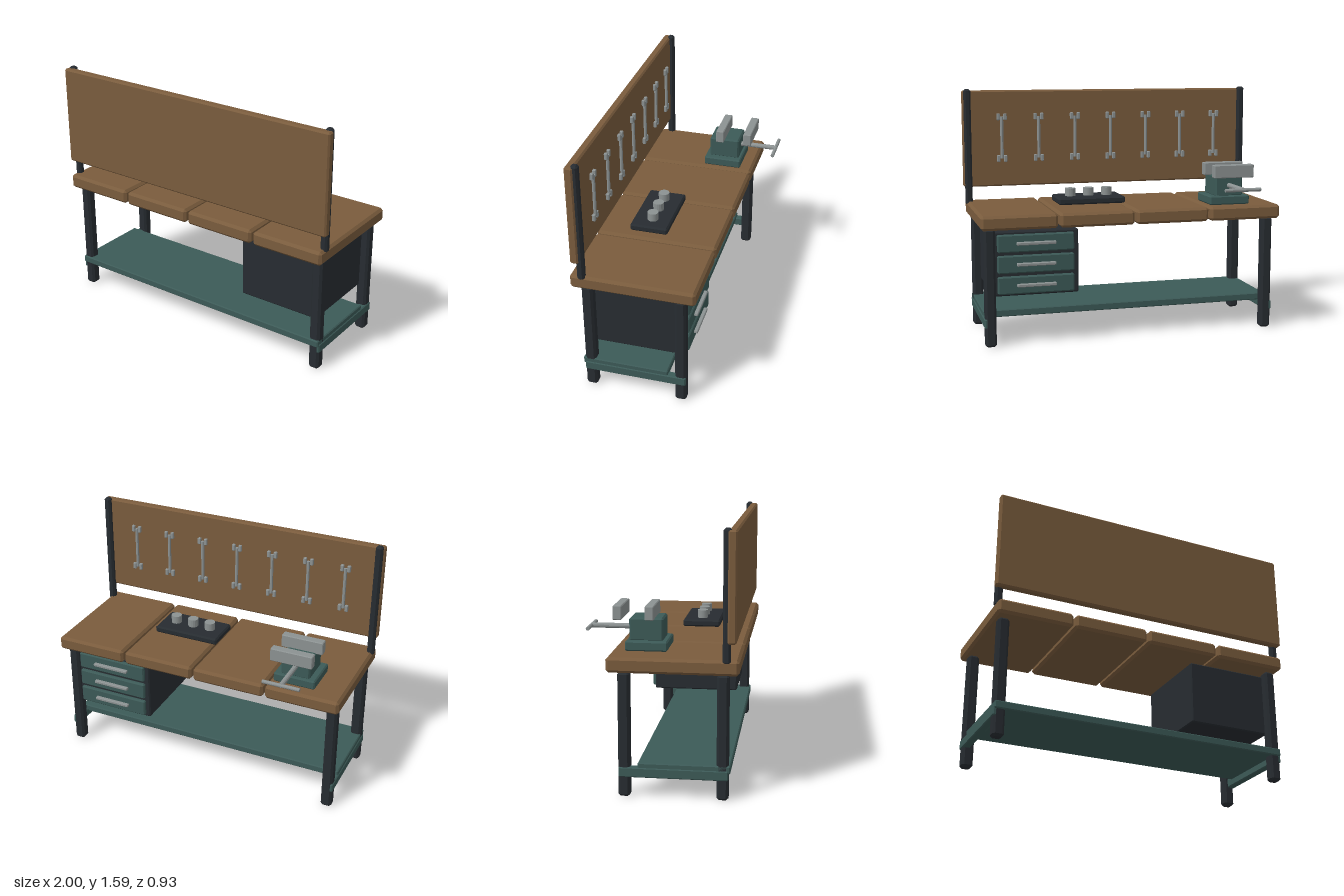
import * as THREE from 'three';
import { ConvexGeometry } from 'three/addons/geometries/ConvexGeometry.js';

const mat = (color) => new THREE.MeshStandardMaterial({ color, flatShading: true });
const wood = mat(0x7a5c3d), teal = mat(0x3c5a57), dark = mat(0x272c31), steel = mat(0x8c9292);

// Box with every edge chamfered by c, given as [min, max] ranges
function block(parent, name, material, [x0, x1], [y0, y1], [z0, z1], c = 0.008) {
  const half = [(x1 - x0) / 2, (y1 - y0) / 2, (z1 - z0) / 2];
  const points = [];
  for (const sx of [-1, 1]) for (const sy of [-1, 1]) for (const sz of [-1, 1]) {
    const s = [sx, sy, sz];
    for (let axis = 0; axis < 3; axis++) {
      points.push(new THREE.Vector3(...half.map((h, i) => s[i] * (i === axis ? h : h - c))));
    }
  }
  const mesh = new THREE.Mesh(new ConvexGeometry(points), material);
  mesh.name = name;
  mesh.position.set((x0 + x1) / 2, (y0 + y1) / 2, (z0 + z1) / 2);
  parent.add(mesh);
  return mesh;
}

// Round bar along one axis
function rod(parent, name, radius, length, pos, axis = 'y', sides = 12) {
  const geometry = new THREE.CylinderGeometry(radius, radius, length, sides);
  if (axis === 'x') geometry.rotateZ(Math.PI / 2);
  if (axis === 'z') geometry.rotateX(Math.PI / 2);
  const mesh = new THREE.Mesh(geometry, steel);
  mesh.name = name;
  mesh.position.set(...pos);
  parent.add(mesh);
  return mesh;
}

function group(parent, name) {
  const g = new THREE.Group();
  g.name = name;
  parent.add(g);
  return g;
}

const around = (centre, size) => [centre - size / 2, centre + size / 2];

export function createModel() {
  const bench = new THREE.Group();
  bench.name = 'workbench';

  // Four thick planks with narrow gaps
  const top = group(bench, 'benchTop');
  for (let i = 0; i < 4; i++) {
    block(top, 'plank', wood, around(-0.744 + i * 0.496, 0.482), [0.752, 0.843], [-0.312, 0.46], 0.016);
  }

  // Legs, side rails and lower shelf
  const frame = group(bench, 'frame');
  for (const s of [-1, 1]) {
    for (const z of [0.366, -0.213]) {
      block(frame, 'leg', dark, around(s * 0.925, 0.07), [0, 0.752], around(z, 0.07), 0.014);
    }
    block(frame, 'sideRail', teal, around(s * 0.94, 0.05), [0.122, 0.182], [-0.246, 0.4], 0.006);
  }
  block(frame, 'shelf', teal, [-0.96, 0.96], [0.164, 0.211], [-0.132, 0.412], 0.006);

  // Drawer cabinet opening to the back
  const cabinet = group(bench, 'drawerCabinet');
  block(cabinet, 'cabinetBody', dark, [0.357, 0.907], [0.32, 0.73], [-0.225, 0.35], 0.008);
  for (let i = 0; i < 3; i++) {
    const y = 0.39 + i * 0.133;
    block(cabinet, 'drawerFront', teal, around(0.633, 0.49), around(y, 0.113), [-0.247, -0.215], 0.008);
    block(cabinet, 'drawerHandle', steel, around(0.633, 0.25), around(y, 0.02), [-0.27, -0.24], 0.004);
  }

  // Upright tool board on two posts
  const back = group(bench, 'toolBoard');
  block(back, 'board', wood, [-1, 1], [0.938, 1.582], [0.391, 0.443], 0.01);
  for (const s of [-1, 1]) {
    block(back, 'post', dark, around(s * 0.968, 0.046), [0.82, 1.592], [0.364, 0.41], 0.012);
  }

  // Row of open-ended wrenches
  for (let i = 0; i < 7; i++) {
    const x = -0.764 + i * 0.251;
    const wrench = group(back, 'wrench');
    rod(wrench, 'wrenchShaft', 0.011, 0.28, [x, 1.267, 0.367], 'y', 8);
    for (const y of [1.127, 1.407]) {
      for (const s of [-1, 1]) {
        block(wrench, 'wrenchProng', steel, around(x + s * 0.023, 0.022), around(y, 0.045), around(0.367, 0.022), 0.004);
      }
    }
  }

  // Tray with three sockets
  const tray = group(bench, 'socketTray');
  block(tray, 'trayBase', dark, [-0.021, 0.429], [0.845, 0.89], [0.018, 0.262], 0.01);
  for (let i = 0; i < 3; i++) {
    rod(tray, 'socket', 0.035, 0.06, [0.08 + i * 0.124, 0.912, 0.139], 'y', 16);
  }

  // Vise with sliding jaw, screw and cross handle
  const vise = group(bench, 'vise');
  block(vise, 'viseBase', teal, [-0.8, -0.528], [0.843, 0.902], [-0.23, 0.023], 0.008);
  block(vise, 'viseBody', teal, [-0.759, -0.569], [0.895, 1.035], [-0.21, -0.006], 0.01);
  for (const z of [-0.084, -0.274]) {
    block(vise, 'jaw', steel, [-0.8, -0.528], [1.027, 1.112], around(z, 0.054), 0.005);
  }
  rod(vise, 'viseScrew', 0.016, 0.3, [-0.664, 0.968, -0.305], 'z');
  rod(vise, 'viseHandle', 0.012, 0.24, [-0.664, 0.968, -0.453], 'x');

  return bench;
}
